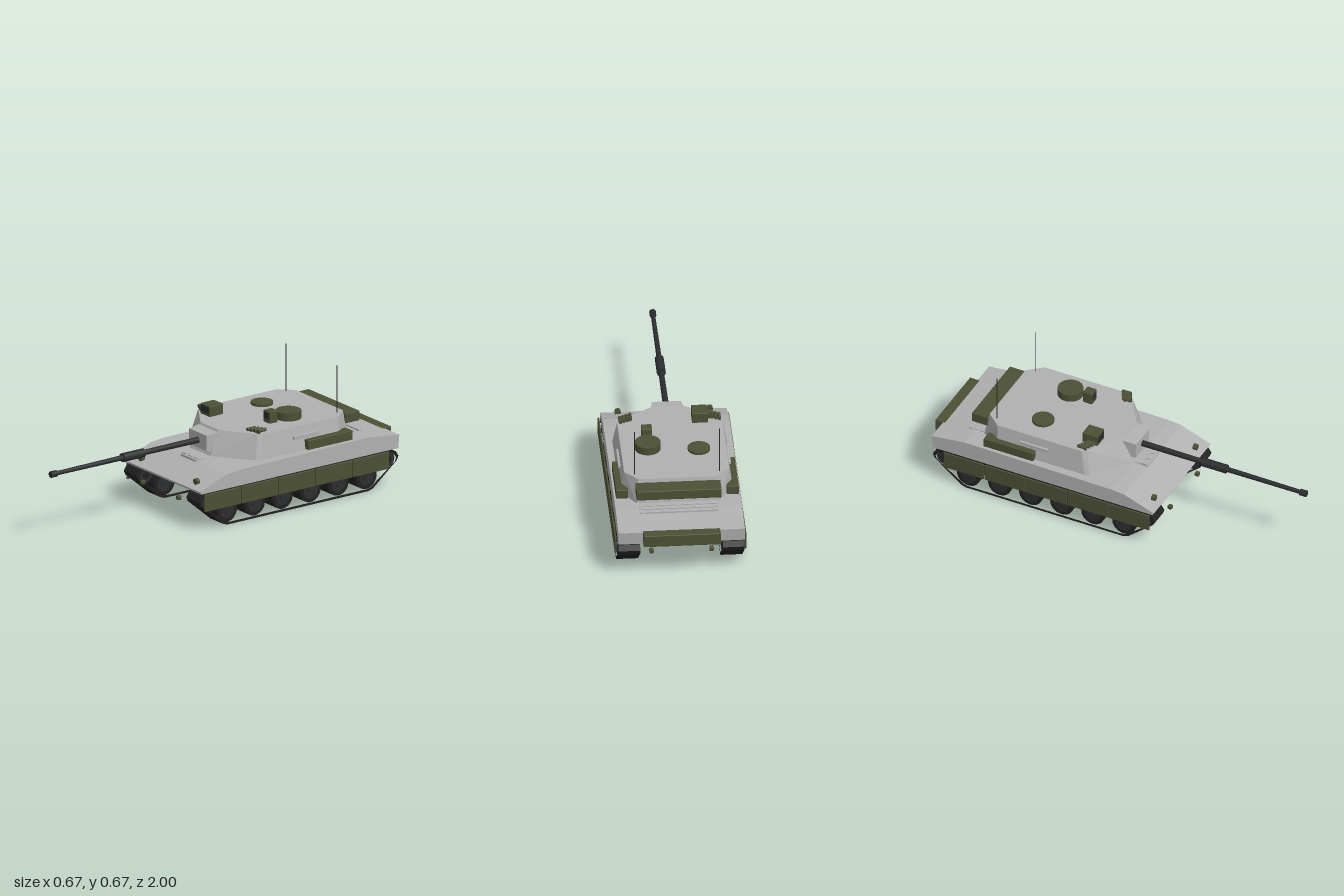
import * as THREE from 'three';
import { RoundedBoxGeometry } from 'three/addons/geometries/RoundedBoxGeometry.js';
import { ConvexGeometry } from 'three/addons/geometries/ConvexGeometry.js';

const material = (name, color) => Object.assign(new THREE.MeshStandardMaterial({ color }), { name });

export function createModel() {
  const model = new THREE.Group();
  model.name = 'tank';
  const grey = material('armour grey', 0xb0b0b0);
  const olive = material('olive green', 0x4c5034);
  const gunmetal = material('gunmetal', 0x2c2d2f);
  const rubber = material('track black', 0x212121);

  const add = (name, geometry, mat, x = 0, y = 0, z = 0) => {
    const mesh = new THREE.Mesh(geometry, mat);
    mesh.name = name;
    mesh.position.set(x, y, z);
    model.add(mesh);
    return mesh;
  };
  // Softly bevelled box given by its limits
  const box = (name, mat, x0, x1, y0, y1, z0, z1, r = 0.004) => {
    const w = x1 - x0, h = y1 - y0, d = z1 - z0;
    const radius = Math.min(r, w * 0.4, h * 0.4, d * 0.4);
    return add(name, new RoundedBoxGeometry(w, h, d, 2, radius), mat,
      (x0 + x1) / 2, (y0 + y1) / 2, (z0 + z1) / 2);
  };
  const mirrorBox = (name, mat, x0, x1, ...rest) => {
    box(name + 'Left', mat, x0, x1, ...rest);
    box(name + 'Right', mat, -x1, -x0, ...rest);
  };
  // Side profile of [z, y] points extruded across the width
  const profile = (name, mat, points, width, x = 0, hole) => {
    const shape = new THREE.Shape(points.map(p => new THREE.Vector2(...p)));
    if (hole) shape.holes.push(new THREE.Path(hole.map(p => new THREE.Vector2(...p))));
    const g = new THREE.ExtrudeGeometry(shape, { depth: width, bevelEnabled: false });
    g.translate(0, 0, -width / 2).rotateY(-Math.PI / 2);
    return add(name, g, mat, x);
  };
  // Cylinders along each axis
  const upright = (name, mat, r, y0, y1, x, z, n = 32) =>
    add(name, new THREE.CylinderGeometry(r, r, y1 - y0, n), mat, x, (y0 + y1) / 2, z);
  const forward = (name, mat, r0, r1, z0, z1, x, y) =>
    add(name, new THREE.CylinderGeometry(r1, r0, z1 - z0, 24).rotateX(Math.PI / 2), mat, x, y, (z0 + z1) / 2);
  const axle = (name, mat, r, width, x, y, z) =>
    add(name, new THREE.CylinderGeometry(r, r, width, 28).rotateZ(Math.PI / 2), mat, x, y, z);
  // Solid tapering between two outlines of half-width points [a, b]
  const taper = (name, mat, lower, upper, place) => {
    const points = [];
    [lower, upper].forEach((ring, level) => ring.forEach(([a, b]) =>
      [-1, 1].forEach(s => points.push(place(s * a, b, level)))));
    return add(name, new ConvexGeometry(points), mat);
  };

  // Hull
  profile('upperHull', grey, [[-0.95, 0.192], [0.29, 0.192], [0.297, 0.205], [0.13, 0.268],
    [0.06, 0.275], [-0.77, 0.285], [-0.957, 0.262]], 0.64);
  profile('lowerHull', grey, [[-0.79, 0.09], [0.1, 0.09], [0.275, 0.193], [-0.94, 0.193]], 0.41);
  box('rearStowageBin', olive, -0.195, 0.195, 0.2, 0.265, -1, -0.945);
  for (let i = 0; i < 3; i++) {
    const z = -0.735 - i * 0.032;
    box('engineGrille' + (i + 1), grey, -0.2, 0.2, 0.278, 0.291, z - 0.01, z + 0.01, 0.002);
  }
  box('driverHatch', grey, -0.065, 0.065, 0.262, 0.278, 0.05, 0.135, 0.003);
  for (const x of [-0.048, 0, 0.048])
    box('driverPeriscope', grey, x - 0.017, x + 0.017, 0.272, 0.284, 0.1, 0.125, 0.002);
  for (const s of [-1, 1]) {
    forward('headlight', olive, 0.016, 0.016, 0.245, 0.265, s * 0.233, 0.233);
    box('frontTowHook', olive, s * 0.152 - 0.011, s * 0.152 + 0.011, 0.124, 0.146, 0.295, 0.317);
    box('rearTowHook', olive, s * 0.152 - 0.011, s * 0.152 + 0.011, 0.134, 0.156, -0.955, -0.93);
  }

  // Tracks, wheels and skirts
  const loop = [[0.25, 0.191], [0.285, 0.178], [0.302, 0.152], [0.293, 0.13], [0.15, 0.008], [0.125, 0],
    [-0.765, 0], [-0.79, 0.008], [-0.943, 0.13], [-0.952, 0.152], [-0.935, 0.178], [-0.9, 0.191]];
  const inner = loop.map(([z, y]) => [-0.325 + (z + 0.325) * 0.977, 0.095 + (y - 0.095) * 0.87]);
  for (const s of [-1, 1]) {
    profile('track', rubber, loop, 0.11, s * 0.264, inner);
    for (let i = 0; i < 6; i++) {
      const z = 0.122 - i * 0.1755;
      axle('roadWheel', rubber, 0.064, 0.094, s * 0.264, 0.075, z);
      axle('wheelDisc', gunmetal, 0.044, 0.1, s * 0.264, 0.075, z);
      axle('wheelHub', gunmetal, 0.018, 0.112, s * 0.264, 0.075, z);
    }
    for (const z of [0.24, -0.89]) {
      axle('endWheel', gunmetal, 0.042, 0.094, s * 0.264, 0.142, z);
      axle('endWheelHub', rubber, 0.018, 0.106, s * 0.264, 0.142, z);
    }
  }
  for (let i = 0; i < 5; i++) {
    const z = 0.277 - i * 0.233;
    mirrorBox('skirtPanel' + (i + 1), olive, 0.324, 0.333, 0.098, 0.19, z - 0.23, z, 0.003);
  }

  // Turret
  upright('turretRing', grey, 0.23, 0.26, 0.292, 0, -0.32, 40);
  taper('turret', grey,
    [[0.085, 0.058], [0.275, -0.085], [0.288, -0.11], [0.288, -0.6], [0.21, -0.715]],
    [[0.075, 0], [0.25, -0.115], [0.266, -0.14], [0.266, -0.615], [0.2, -0.69]],
    (x, z, level) => new THREE.Vector3(x, level ? 0.414 : 0.288, z));
  taper('mantlet', grey, [[0.085, 0.306], [0.085, 0.404]], [[0.074, 0.314], [0.074, 0.396]],
    (x, y, level) => new THREE.Vector3(x, y, level ? 0.073 : -0.01));
  box('turretRearBin', olive, -0.215, 0.215, 0.345, 0.397, -0.785, -0.695);
  mirrorBox('turretSideBin', olive, 0.25, 0.311, 0.29, 0.34, -0.67, -0.39);
  mirrorBox('turretSideRail', grey, 0.262, 0.285, 0.352, 0.37, -0.48, -0.32, 0.002);

  // Gun
  forward('gunBarrel', gunmetal, 0.016, 0.011, 0.05, 0.98, 0, 0.355);
  forward('boreEvacuator', gunmetal, 0.023, 0.023, 0.415, 0.55, 0, 0.355);
  forward('muzzle', gunmetal, 0.017, 0.017, 0.965, 1, 0, 0.355);

  // Roof fittings
  upright('commanderCupola', olive, 0.065, 0.41, 0.455, 0.13, -0.4);
  upright('loaderHatch', olive, 0.057, 0.41, 0.427, -0.127, -0.425);
  box('gunnerSight', olive, -0.192, -0.112, 0.41, 0.469, -0.172, -0.086);
  box('gunnerSightWindow', gunmetal, -0.186, -0.12, 0.428, 0.463, -0.09, -0.083, 0.001);
  box('commanderSight', olive, 0.101, 0.155, 0.41, 0.476, -0.316, -0.264);
  box('commanderSightWindow', gunmetal, 0.107, 0.149, 0.434, 0.469, -0.268, -0.261, 0.001);
  for (const s of [-1, 1]) {
    upright('antenna', gunmetal, 0.0018, 0.41, 0.666, s * 0.215, -0.642, 8);
    for (let i = 0; i < 4; i++) {
      const z = -0.115 - i * 0.009;
      forward('smokeLauncher', olive, 0.009, 0.009, z - 0.025, z + 0.025, s * (0.198 + i * 0.0175), 0.43);
    }
    box('launcherBracket', olive, s * 0.224 - 0.028, s * 0.224 + 0.028, 0.41, 0.426, -0.134, -0.122, 0.002);
  }
  return model;
}
